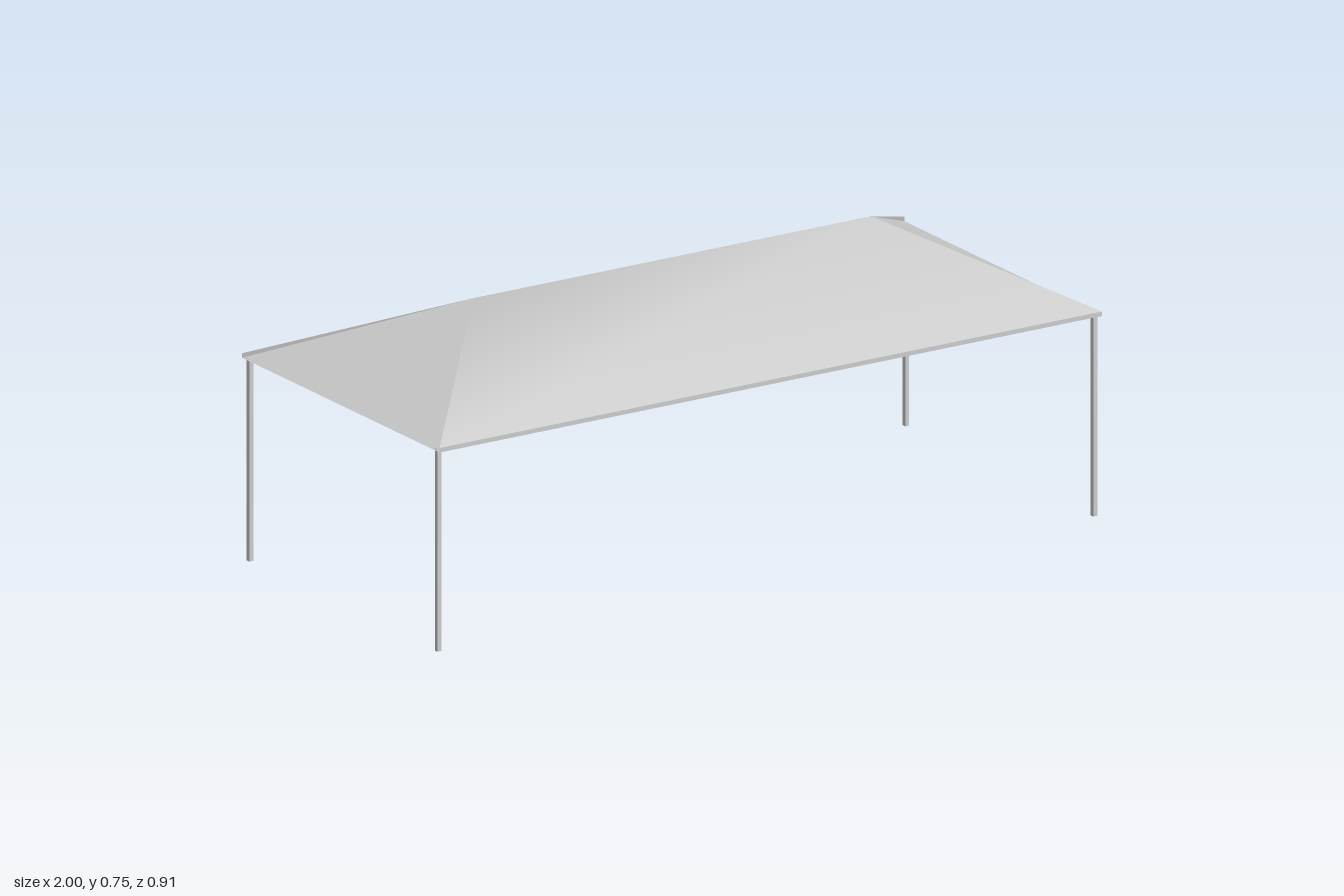
import * as THREE from 'three';

const X = 1, Z = 0.455;                       // half length and half width at the eaves
const HEM = 0.535, EAVE = 0.547, RIDGE = 0.747;
const RIDGE_X = 0.6;                          // half length of the ridge

const cloth = new THREE.MeshStandardMaterial({ color: 0xcccccc, side: THREE.DoubleSide });
const metal = new THREE.MeshStandardMaterial({ color: 0xcccccc });

function surface(name, points, index) {
  const geometry = new THREE.BufferGeometry();
  geometry.setAttribute('position', new THREE.Float32BufferAttribute(points.flat(), 3));
  geometry.setIndex(index);
  geometry.computeVertexNormals();
  const mesh = new THREE.Mesh(geometry, cloth);
  mesh.name = name;
  return mesh;
}

export function createModel() {
  const group = new THREE.Group();
  group.name = 'canopy';

  // Long slopes: one sheet running hem, eave, ridge, eave, hem; smooth over the ridge
  const rows = [[RIDGE_X, RIDGE, 0]];
  rows.unshift([X, EAVE, Z]);
  rows.push([X, EAVE, -Z]);
  const sheet = rows.flatMap(([x, y, z]) => [[-x, y, z], [x, y, z]]);
  const quads = [];
  for (let i = 0; i < rows.length - 1; i++) {
    const a = i * 2;
    quads.push(a, a + 1, a + 3, a, a + 3, a + 2);
  }
  group.add(surface('roofSlopes', sheet, quads));

  // Narrow hems hanging from the long eaves
  for (const s of [1, -1]) {
    group.add(surface(s > 0 ? 'frontHem' : 'backHem', [
      [-X * s, HEM, Z * s], [X * s, HEM, Z * s], [X * s, EAVE, Z * s], [-X * s, EAVE, Z * s],
    ], [0, 1, 2, 0, 2, 3]));
  }

  // Hipped ends: a fan from the ridge tip to the hem, with a sliver at each corner
  for (const s of [1, -1]) {
    const tip = [RIDGE_X * s, RIDGE, 0];
    const rim = [[EAVE, 1], [HEM, 1], [HEM, -1], [EAVE, -1]].map(([y, k]) => [X * s, y, Z * k * s]);
    const points = [];
    for (let i = 0; i < 3; i++) points.push(tip, rim[i], rim[i + 1]);
    group.add(surface(s > 0 ? 'leftRoofEnd' : 'rightRoofEnd', points, [...points.keys()]));
  }

  // Corner posts
  const postHeight = 0.538;
  const post = new THREE.BoxGeometry(0.012, postHeight, 0.012);
  for (const sx of [1, -1]) {
    for (const sz of [1, -1]) {
      const mesh = new THREE.Mesh(post, metal);
      mesh.name = (sz > 0 ? 'front' : 'back') + (sx > 0 ? 'Left' : 'Right') + 'Post';
      mesh.position.set(sx * 0.99, postHeight / 2, sz * 0.433);
      group.add(mesh);
    }
  }
  return group;
}
